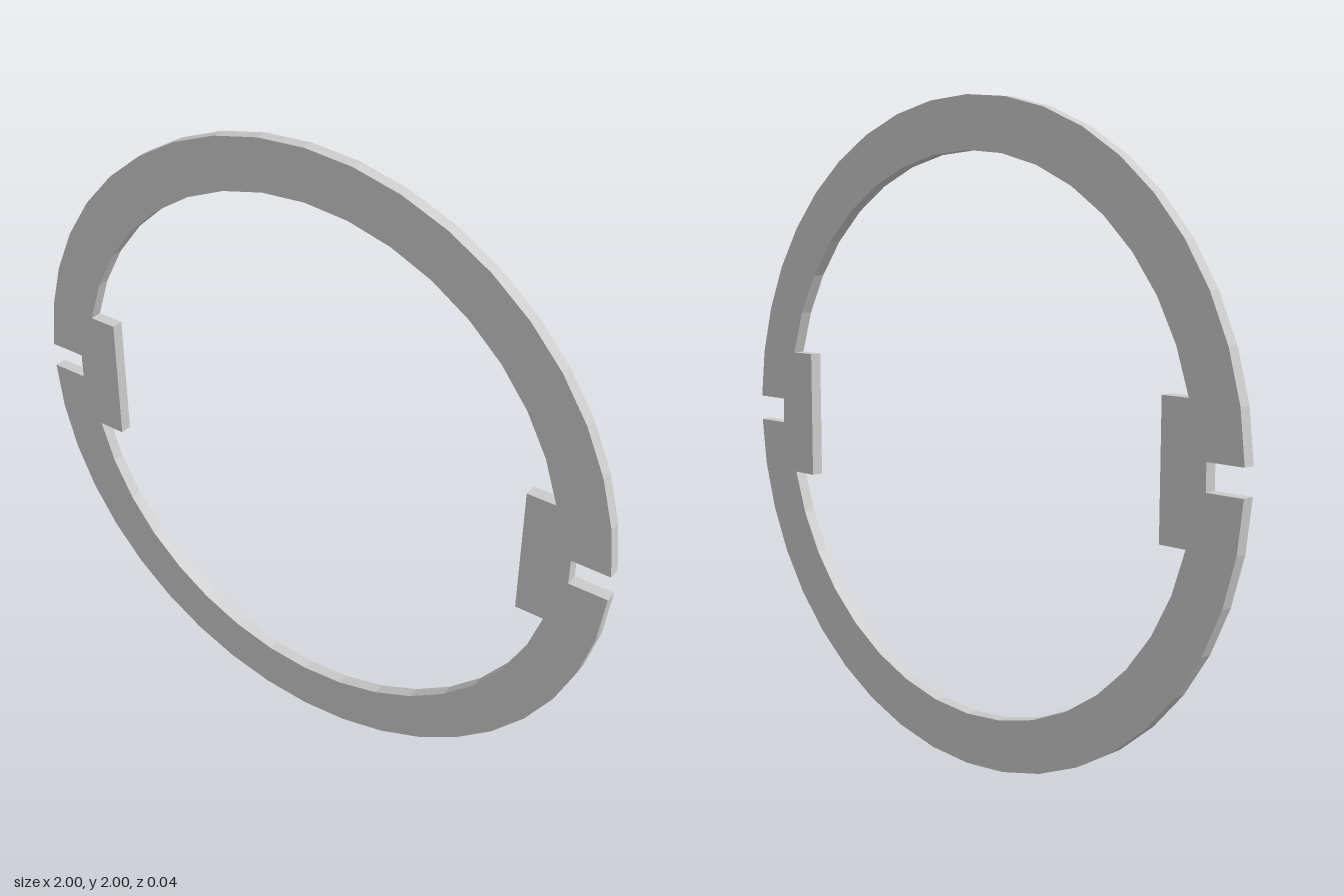
import * as THREE from 'three';

const OUTER = 1, INNER = 0.843, DEPTH = 0.038;
const TAB_X = 0.73, TAB_H = 0.2;      // inward tabs: inner face and half height
const NOTCH_X = 0.88, NOTCH_H = 0.04; // outer slots: floor and half height

// Points of an arc running over the top, cut off at height h on both sides
function arc(radius, h, segments) {
  const start = Math.asin(h / radius);
  return Array.from({ length: segments + 1 }, (_, i) => {
    const a = start + (Math.PI - 2 * start) * i / segments;
    return new THREE.Vector2(radius * Math.cos(a), radius * Math.sin(a));
  });
}

// Upper arc, then the same arc turned half way round, with corners on each side
function outline(arcPoints, cornerX, cornerH) {
  const half = [
    new THREE.Vector2(cornerX, cornerH),
    ...arcPoints,
    new THREE.Vector2(-cornerX, cornerH),
  ];
  return [...half, ...half.map((p) => p.clone().negate())];
}

export function createModel() {
  const group = new THREE.Group();
  group.name = 'notchedRing';

  // Ring outline with side slots, opening with two tabs
  const shape = new THREE.Shape(outline(arc(OUTER, NOTCH_H, 20), NOTCH_X, NOTCH_H));
  shape.holes.push(new THREE.Path(outline(arc(INNER, TAB_H, 16), TAB_X, TAB_H)));

  const geometry = new THREE.ExtrudeGeometry(shape, { depth: DEPTH, bevelEnabled: false });
  geometry.translate(0, OUTER, -DEPTH / 2);

  const ring = new THREE.Mesh(
    geometry,
    new THREE.MeshStandardMaterial({ color: 0xcccccc, flatShading: true })
  );
  ring.name = 'ringPlate';
  group.add(ring);
  return group;
}
